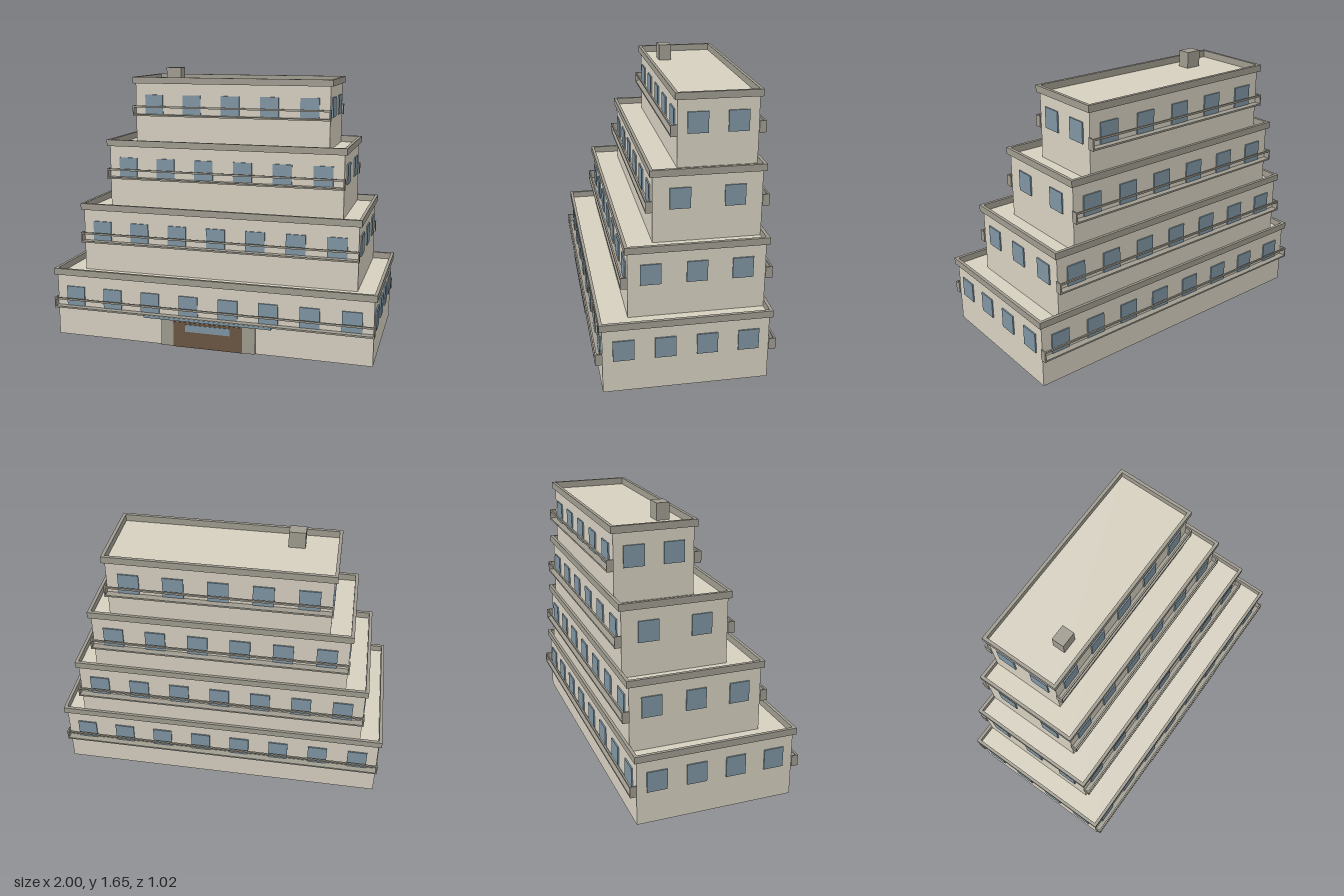
import * as THREE from 'three';

const mat = (color) => new THREE.MeshStandardMaterial({ color });

export function createModel() {
  const model = new THREE.Group();
  model.name = 'terracedBuilding';

  const wall = mat(0xd6d0c0);
  const trim = mat(0xa09c90);
  const glass = mat(0x7f95a3);
  const wood = mat(0x6b5543);

  // Box given by its minimum and maximum on each axis
  function box(parent, name, material, x0, x1, y0, y1, z0, z1) {
    const mesh = new THREE.Mesh(new THREE.BoxGeometry(x1 - x0, y1 - y0, z1 - z0), material);
    mesh.position.set((x0 + x1) / 2, (y0 + y1) / 2, (z0 + z1) / 2);
    mesh.name = name;
    parent.add(mesh);
    return mesh;
  }

  const H = 0.387;       // storey height
  const BACK = -0.467;   // shared back wall
  const OUT = 0.016;     // parapet overhang
  const IN = 0.003;      // parapet inset over the roof
  const WIN = 0.059;     // half window size
  const PROUD = 0.008;   // window projection

  // Parapet ring around a roof edge
  function parapet(parent, hx, z0, z1, y) {
    const shape = new THREE.Shape();
    const rect = (path, x, a, b) => path.moveTo(-x, a).lineTo(x, a).lineTo(x, b).lineTo(-x, b).closePath();
    rect(shape, hx + OUT, -z1 - OUT, -z0 + OUT);
    const hole = new THREE.Path();
    rect(hole, hx - IN, -z1 + IN, -z0 - IN);
    shape.holes.push(hole);
    const geo = new THREE.ExtrudeGeometry(shape, { depth: 0.04, bevelEnabled: false });
    geo.rotateX(-Math.PI / 2);
    const mesh = new THREE.Mesh(geo, trim);
    mesh.position.y = y;
    mesh.name = 'parapet';
    parent.add(mesh);
  }

  // Shallow balcony: slab, outer rail and two end panels
  function balcony(parent, hx, y, zWall, dir) {
    const g = new THREE.Group();
    g.name = dir > 0 ? 'frontBalcony' : 'backBalcony';
    const span = (name, x0, x1, y0, y1, a, b) => {
      const za = zWall + dir * a, zb = zWall + dir * b;
      box(g, name, trim, x0, x1, y + y0, y + y1, Math.min(za, zb), Math.max(za, zb));
    };
    const w = hx + 0.008;
    span('balconySlab', -w, w, 0.182, 0.192, 0, 0.04);
    span('balconyRail', -w, w, 0.236, 0.247, 0.03, 0.04);
    for (const s of [-1, 1]) {
      const x = s * (w - 0.004);
      span('balconyEnd', x - 0.004, x + 0.004, 0.18, 0.247, 0, 0.04);
    }
    parent.add(g);
  }

  // Four storeys, each set back at the front and sides
  const sideCounts = [4, 3, 2, 2];
  for (let i = 0; i < 4; i++) {
    const tier = new THREE.Group();
    tier.name = 'storey' + (i + 1);
    const hx = 0.982 - i * 0.1177;
    const zf = 0.467 - i * 0.158;
    const y = i * H;
    const yc = y + 0.255;
    box(tier, 'walls', wall, -hx, hx, y, y + H, BACK, zf);
    parapet(tier, hx, BACK, zf, y + H);

    // Front and back windows
    const n = 8 - i;
    for (let k = 0; k < n; k++) {
      const x = -hx + (k + 0.5) * 2 * hx / n;
      for (const [name, z] of [['frontWindow', zf], ['backWindow', BACK]]) {
        box(tier, name, glass, x - WIN, x + WIN, yc - 0.061, yc + 0.061, z - PROUD, z + PROUD);
      }
    }
    // Side windows
    const m = sideCounts[i];
    for (let k = 0; k < m; k++) {
      const z = BACK + (k + 0.5) * (zf - BACK) / m;
      for (const s of [-1, 1]) {
        box(tier, s > 0 ? 'leftWindow' : 'rightWindow', glass,
          s * hx - PROUD, s * hx + PROUD, yc - 0.061, yc + 0.061, z - WIN, z + WIN);
      }
    }
    balcony(tier, hx, y, zf, 1);
    balcony(tier, hx, y, BACK, -1);
    model.add(tier);
  }

  // Entrance with surround, door, glazed strip and canopy
  const entrance = new THREE.Group();
  entrance.name = 'entrance';
  box(entrance, 'doorSurround', trim, -0.293, 0.293, 0, 0.176, 0.46, 0.478);
  box(entrance, 'door', wood, -0.215, 0.215, 0, 0.158, 0.46, 0.482);
  box(entrance, 'doorGlass', glass, -0.14, 0.14, 0.1, 0.144, 0.46, 0.485);
  box(entrance, 'canopy', glass, -0.395, 0.395, 0.172, 0.187, 0.46, 0.509);
  model.add(entrance);

  // Rooftop vent
  box(model, 'roofVent', trim, -0.444, -0.348, 4 * H, 1.646, -0.157, -0.081);

  return model;
}
